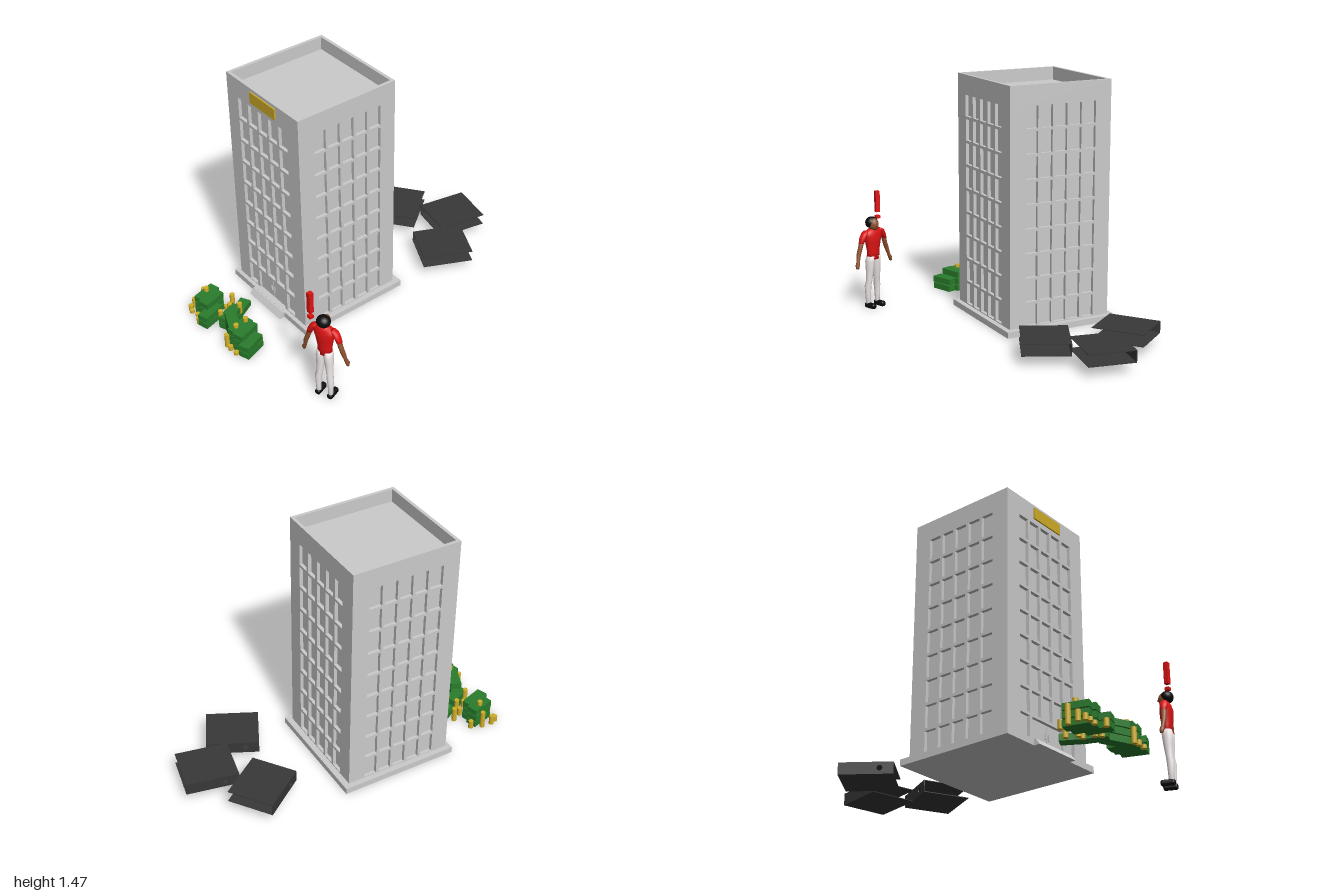
import * as THREE from 'three';
import { RoundedBoxGeometry } from 'three/addons/geometries/RoundedBoxGeometry.js';

const paint = (color) => new THREE.MeshStandardMaterial({ color });
const grey = paint(0xcccccc), gold = paint(0xd0ae28), green = paint(0x2a7d2c), red = paint(0xe01414);
const charcoal = paint(0x383838), skin = paint(0x8f5230), black = paint(0x0c0c0c), white = paint(0xeee6e6);

function add(parent, name, geometry, material, x = 0, y = 0, z = 0, turn = 0) {
  const mesh = new THREE.Mesh(geometry, material);
  mesh.name = name;
  mesh.position.set(x, y, z);
  mesh.rotation.y = turn;
  parent.add(mesh);
  return mesh;
}

function group(parent, name, x = 0, y = 0, z = 0, turn = 0) {
  const g = new THREE.Group();
  g.name = name;
  g.position.set(x, y, z);
  g.rotation.y = turn;
  parent.add(g);
  return g;
}

const box = (w, h, d) => new THREE.BoxGeometry(w, h, d);

function rect(Type, x0, y0, x1, y1) {
  const s = new Type();
  s.moveTo(x0, y0).lineTo(x1, y0).lineTo(x1, y1).lineTo(x0, y1).closePath();
  return s;
}

// Smooth limb through elliptical sections [x, y, z, rx, rz], bottom to top, closed at both ends
function loft(sections, sides = 16) {
  const close = (s) => [s[0], s[1], s[2], 0.0005, 0.0005];
  const rings = [close(sections[0]), ...sections, close(sections[sections.length - 1])];
  const points = [], index = [];
  rings.forEach(([x, y, z, rx, rz], r) => {
    for (let i = 0; i < sides; i++) {
      const a = (i / sides) * Math.PI * 2;
      points.push(x + rx * Math.cos(a), y, z + rz * Math.sin(a));
      if (r === rings.length - 1) continue;
      const p = r * sides + i, q = r * sides + (i + 1) % sides;
      index.push(p, p + sides, q, q, p + sides, q + sides);
    }
  });
  const g = new THREE.BufferGeometry();
  g.setAttribute('position', new THREE.Float32BufferAttribute(points, 3));
  g.setIndex(index);
  g.computeVertexNormals();
  return g;
}

const SIZE = 0.67, HEIGHT = 1.47, WALL = 0.02;

// Wall with a grid of window openings, and a door opening on the front
function wallGeometry(hasDoor) {
  const shape = rect(THREE.Shape, -SIZE / 2, 0, SIZE / 2, HEIGHT);
  for (let row = 0; row < 9; row++) {
    for (let col = -2; col <= 2; col++) {
      if (hasDoor && row === 0 && Math.abs(col) < 2) continue;
      const x = col * 0.096, y = 0.108 + row * 0.147;
      shape.holes.push(rect(THREE.Path, x - 0.039, y - 0.065, x + 0.039, y + 0.065));
    }
  }
  if (hasDoor) shape.holes.push(rect(THREE.Path, -0.13, 0.03, 0.13, 0.172));
  return new THREE.ExtrudeGeometry(shape, { depth: WALL, bevelEnabled: false });
}

function buildTower(parent) {
  const tower = group(parent, 'tower', -0.298, 0, 0.198);
  add(tower, 'basePlate', box(0.736, 0.037, 0.732), grey, 0, 0.0185, -0.006);
  add(tower, 'coreAndRoof', box(SIZE - 2 * WALL, 1.39, SIZE - 2 * WALL), grey, 0, 0.695, 0);
  ['frontWall', 'leftWall', 'backWall', 'rightWall'].forEach((name, i) => {
    const side = group(tower, name, 0, 0, 0, i * Math.PI / 2);
    add(side, name + 'Panel', wallGeometry(i === 0), grey, 0, 0, SIZE / 2 - WALL);
  });
  // Double door, sloped front step and blank sign plate
  for (const s of [-1, 1]) {
    add(tower, 'doorLeaf', box(0.122, 0.13, 0.008), grey, s * 0.064, 0.1, SIZE / 2 - WALL + 0.004);
    add(tower, 'doorHandle', box(0.006, 0.035, 0.008), grey, s * 0.014, 0.1, SIZE / 2 - 0.008);
  }
  const ramp = new THREE.Shape();
  ramp.moveTo(-0.08, 0).lineTo(0.037, 0).lineTo(0.01, 0.036).lineTo(-0.08, 0.036).closePath();
  const step = new THREE.ExtrudeGeometry(ramp, { depth: 0.305, bevelEnabled: false });
  step.rotateY(-Math.PI / 2);
  add(tower, 'frontStep', step, grey, 0.153, 0, 0.36);
  add(tower, 'signPlate', box(0.235, 0.07, 0.01), gold, 0.015, 1.415, SIZE / 2 + 0.003);
}

// Lying ring binder: two covers and a spine with a finger hole
function buildBinder(parent, x, z, turn) {
  const binder = group(parent, 'binder', x, 0.1, z, turn);
  for (const s of [-1, 1]) add(binder, 'cover', box(0.278, 0.004, 0.312), charcoal, 0, s * 0.034, 0);
  const shape = rect(THREE.Shape, -0.156, -0.034, 0.156, 0.034);
  shape.holes.push(new THREE.Path().absarc(0.077, 0, 0.016, 0, Math.PI * 2, true));
  const spine = new THREE.ExtrudeGeometry(shape, { depth: 0.004, bevelEnabled: false, curveSegments: 20 });
  spine.rotateY(-Math.PI / 2);
  add(binder, 'spine', spine, charcoal, -0.135, 0, 0);
}

// Banknote bundles [x, z, turn, layers] and coin columns [x, z, base, height]
function buildMoney(parent) {
  const money = group(parent, 'money');
  const bundles = [
    [-0.5, 0.87, 0.27, 3], [-0.447, 0.875, 0.27, 3], [-0.393, 0.92, 0.27, 2],
    [-0.352, 0.735, 0.5, 1], [-0.305, 0.835, 0.36, 2], [-0.205, 0.885, 1.17, 3],
    [-0.13, 0.88, 0.22, 3], [-0.085, 0.878, 0.3, 3], [-0.025, 0.882, 0.33, 2],
  ];
  for (const [x, z, turn, layers] of bundles) {
    for (let i = 0; i < layers; i++) {
      add(money, 'noteBundle', box(0.068, 0.038, 0.145), green, x, 0.022 + i * 0.044, z, turn + (i % 2) * 0.04);
    }
  }
  const coins = [
    [-0.562, 0.855, 0, 0.11], [-0.568, 0.92, 0, 0.06], [-0.555, 0.955, 0, 0.035], [-0.53, 0.965, 0, 0.02],
    [-0.48, 0.955, 0, 0.02], [-0.51, 0.865, 0.13, 0.025], [-0.535, 0.79, 0, 0.05], [-0.428, 0.74, 0, 0.09],
    [-0.4, 0.8, 0, 0.05], [-0.365, 0.8, 0, 0.09], [-0.35, 0.865, 0, 0.05], [-0.325, 0.89, 0, 0.11],
    [-0.31, 0.765, 0.04, 0.07], [-0.137, 0.837, 0.13, 0.025], [-0.128, 0.91, 0.13, 0.02],
    [-0.148, 0.965, 0, 0.09], [-0.11, 0.968, 0, 0.03], [-0.058, 0.965, 0, 0.02], [-0.42, 0.985, 0, 0.045],
  ];
  for (const [x, z, base, height] of coins) {
    add(money, 'coinColumn', new THREE.CylinderGeometry(0.015, 0.015, height, 20), gold, x, base + height / 2, z);
  }
}

// Standing figure looking towards -z in its own frame
function buildPerson(parent) {
  const person = group(parent, 'person', 0.525, 0, 0.755, 0.37);
  for (const s of [-1, 1]) {
    add(person, 'shoe', new RoundedBoxGeometry(0.034, 0.034, 0.085, 4, 0.013), black, s * 0.039, 0.017, -0.006);
    add(person, 'trouserLeg', loft([
      [s * 0.038, 0.022, 0.014, 0.014, 0.016], [s * 0.039, 0.08, 0.014, 0.016, 0.018],
      [s * 0.038, 0.14, 0.014, 0.02, 0.022], [s * 0.031, 0.18, 0.008, 0.019, 0.021],
      [s * 0.027, 0.25, 0.004, 0.025, 0.028], [s * 0.025, 0.3, 0.004, 0.027, 0.033],
      [s * 0.022, 0.335, 0, 0.024, 0.03],
    ]), white);
    add(person, 'sleeve', loft([
      [s * 0.094, 0.43, 0.002, 0.016, 0.019], [s * 0.083, 0.46, 0.002, 0.019, 0.023],
      [s * 0.068, 0.488, 0, 0.019, 0.023], [s * 0.055, 0.5, 0, 0.012, 0.018],
    ]), red);
    add(person, 'arm', loft([
      [s * 0.14, 0.275, -0.008, 0.008, 0.009], [s * 0.138, 0.295, -0.006, 0.012, 0.015],
      [s * 0.129, 0.318, -0.002, 0.01, 0.011], [s * 0.118, 0.36, 0.004, 0.014, 0.014],
      [s * 0.105, 0.395, 0.004, 0.014, 0.015], [s * 0.09, 0.445, 0.002, 0.015, 0.017],
    ]), skin);
  }
  add(person, 'shirt', loft([
    [0, 0.315, 0, 0.046, 0.033], [0, 0.36, 0, 0.044, 0.029], [0, 0.42, 0, 0.054, 0.037],
    [0, 0.465, 0, 0.067, 0.038], [0, 0.492, 0, 0.062, 0.031], [0, 0.508, 0, 0.028, 0.022],
  ], 24), red);
  add(person, 'neck', new THREE.CylinderGeometry(0.018, 0.02, 0.05, 16), skin, 0, 0.513, 0);
  add(person, 'head', new THREE.SphereGeometry(1, 24, 16), skin, 0, 0.534, -0.008).scale.set(0.031, 0.041, 0.035);
  add(person, 'nose', new THREE.SphereGeometry(0.006, 10, 8), skin, 0, 0.53, -0.043);
  add(person, 'hair', new THREE.SphereGeometry(1, 24, 16), black, 0, 0.544, 0.008).scale.set(0.041, 0.037, 0.038);
}

export function createModel() {
  const model = new THREE.Group();
  model.name = 'towerScene';
  buildTower(model);
  buildBinder(model, -0.463, -0.608, 0.63);
  buildBinder(model, -0.175, -0.817, -0.204);
  buildBinder(model, 0.034, -0.548, -0.456);
  buildMoney(model);
  buildPerson(model);
  // Alert marker floating above the figure
  add(model, 'alertBar', box(0.027, 0.133, 0.027), red, 0.471, 0.663, 0.805);
  add(model, 'alertDot', box(0.027, 0.018, 0.027), red, 0.471, 0.565, 0.805);
  return model;
}
